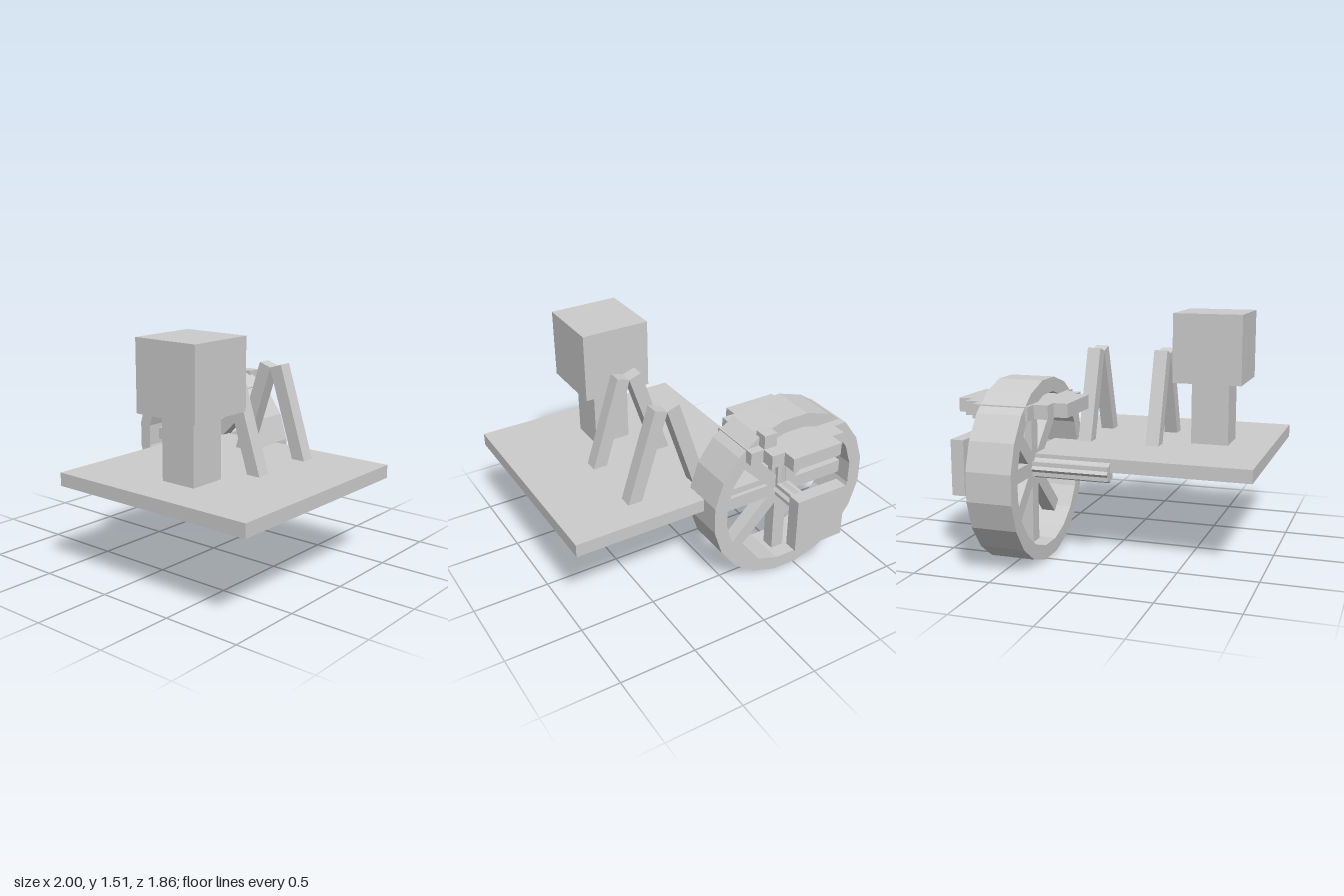
import * as THREE from 'three';

export function createModel() {
  const model = new THREE.Group();
  const grey = new THREE.MeshStandardMaterial({ color: 0xcccccc });
  grey.name = 'plainGrey';

  const U = 0.089; // block unit shared by most parts
  const AX = -0.435, AY = 0.567, WZ = -0.487, GZ = -0.505; // wheel axis, wheel and gear depth

  function add(name, geometry, parent = model) {
    const mesh = new THREE.Mesh(geometry, grey);
    mesh.name = name;
    parent.add(mesh);
    return mesh;
  }
  // Box given by its lower and upper corners
  function box(name, [x0, y0, z0], [x1, y1, z1], parent) {
    const mesh = add(name, new THREE.BoxGeometry(x1 - x0, y1 - y0, z1 - z0), parent);
    mesh.position.set((x0 + x1) / 2, (y0 + y1) / 2, (z0 + z1) / 2);
    return mesh;
  }
  function polygon(n, radius, start) {
    return Array.from({ length: n }, (_, i) => {
      const a = start + (i / n) * Math.PI * 2;
      const r = typeof radius === 'function' ? radius(i) : radius;
      return new THREE.Vector2(r * Math.cos(a), r * Math.sin(a));
    });
  }
  const extrude = (shape, depth) => new THREE.ExtrudeGeometry(shape, { depth, bevelEnabled: false });

  // Platform
  box('platform', [-0.435, 0.57, -0.505], [1, 0.655, 0.93]);

  // Seat: post with a large block on top
  box('post', [0.16, 0.655, 0.41], [0.403, 1.065, 0.655]);
  box('topBlock', [0.055, 1.065, 0.307], [0.505, 1.51, 0.755]);

  // Two A-frames of leaning legs
  const tilt = Math.PI / 10, legLength = 0.66;
  for (const z of [0.19, -0.275]) {
    const frame = new THREE.Group();
    frame.name = 'supportFrame';
    frame.position.set(0.278, 0, z);
    model.add(frame);
    for (const side of [-1, 1]) {
      const leg = add('supportLeg', new THREE.BoxGeometry(U, legLength, U), frame);
      const c = Math.cos(tilt), s = Math.sin(tilt);
      // the outer top corner sits at (0.083, 1.255) from the frame's middle
      leg.position.x = side * (0.083 - (U / 2) * c + (legLength / 2) * s);
      leg.position.y = 1.255 - (U / 2) * s - (legLength / 2) * c;
      leg.rotation.z = side * tilt;
    }
  }

  // Wheel: twenty-sided rim with four full-width bars as spokes
  const wheel = new THREE.Group();
  wheel.name = 'wheel';
  wheel.position.set(AX, AY, WZ);
  model.add(wheel);
  const rim = new THREE.Shape(polygon(20, 0.573, Math.PI / 20));
  rim.holes.push(new THREE.Path(polygon(20, 0.482, Math.PI / 20)));
  add('wheelRim', extrude(rim, 0.285), wheel).position.z = -0.1425;
  for (let i = 0; i < 4; i++) {
    add('spoke', new THREE.BoxGeometry(0.954, U, U), wheel).rotation.z = (i * Math.PI) / 4;
  }

  // Star-section shafts: long axle and upright shaft under the gear
  const star = new THREE.Shape(polygon(16, (i) => (i % 2 ? 0.0482 : 0.063), 0));
  add('axle', extrude(star, 0.855)).position.set(AX, AY, -0.802);
  const upright = add('uprightShaft', extrude(star, 0.365));
  upright.rotation.x = -Math.PI / 2;
  upright.position.set(AX, AY, GZ);

  // Stepped gear lying flat above the hub
  const quarter = [[4, 2], [3, 2], [3, 3], [2, 3], [2, 4]];
  const outline = [];
  for (let q = 0; q < 4; q++) {
    for (const [a, b] of quarter) {
      const p = new THREE.Vector2(a * U, b * U);
      outline.push(p.rotateAround(new THREE.Vector2(), (q * Math.PI) / 2));
    }
  }
  const gear = add('steppedGear', extrude(new THREE.Shape(outline), 0.086));
  gear.rotation.x = -Math.PI / 2;
  gear.position.set(AX, 0.929, GZ);
  box('gearPeg', [-0.26, 1.01, -0.685], [-0.171, 1.105, -0.596]);

  // Square cap and plate on the back end of the axle
  box('axleCap', [AX - U, 0.48, -0.847], [AX + U, 0.658, -0.8]);
  box('backPlate', [AX - 2 * U, 0.39, -0.933], [AX + 2 * U, 0.748, -0.846]);

  return model;
}
